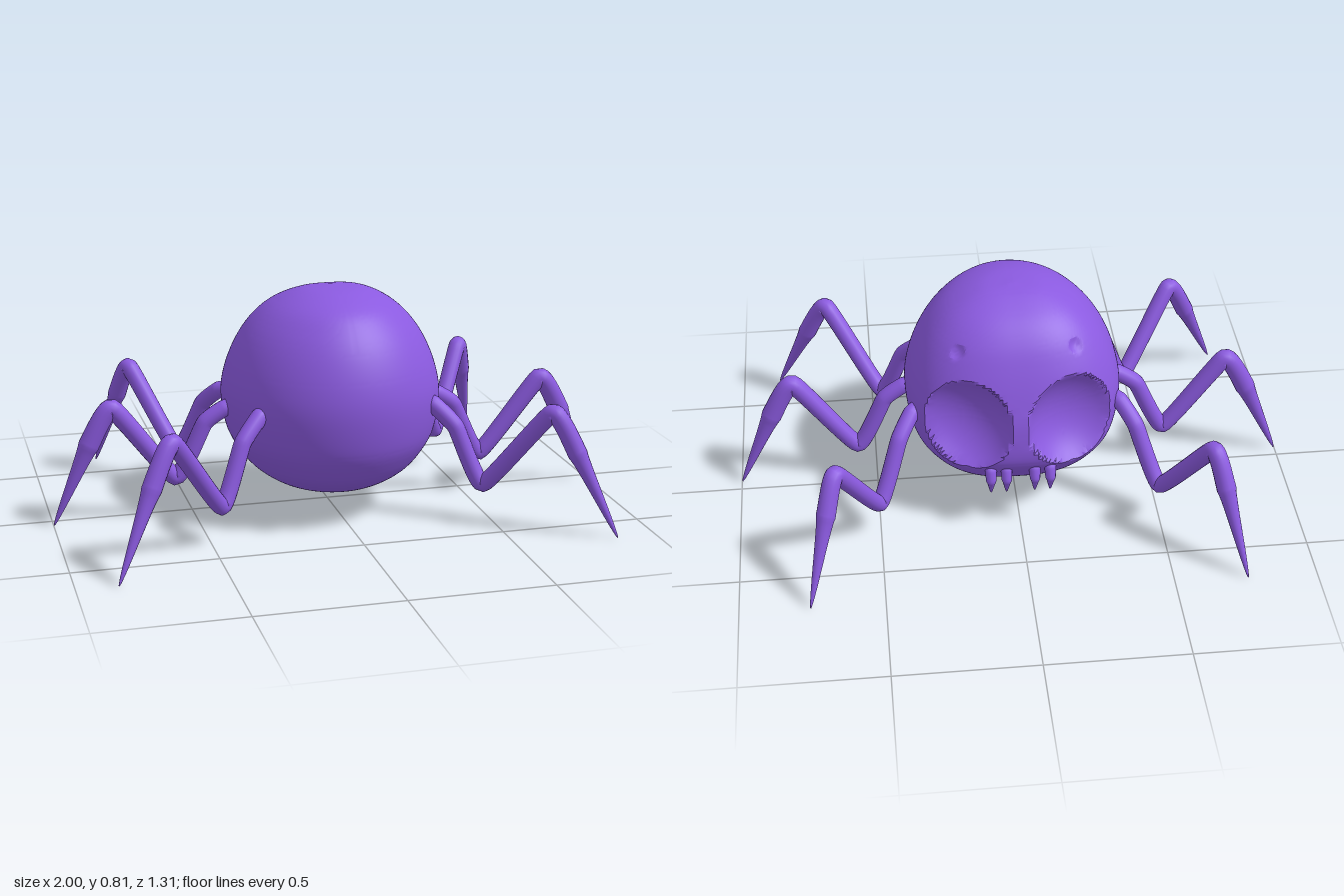
import * as THREE from 'three';
import { toCreasedNormals } from 'three/addons/utils/BufferGeometryUtils.js';

const V = (x, y, z) => new THREE.Vector3(x, y, z);
const material = new THREE.MeshStandardMaterial({ color: 0x8b5ae0 });

// Closed tube of rings: point(row, angle) gives each vertex
function skin(rows, cols, point) {
  const pos = [], index = [];
  for (let i = 0; i <= rows; i++) {
    for (let j = 0; j < cols; j++) {
      pos.push(...point(i / rows, (j / cols) * Math.PI * 2).toArray());
      if (i === rows) continue;
      const k = (j + 1) % cols;
      const a = i * cols + j, b = i * cols + k;
      index.push(a, b, b + cols, a, b + cols, a + cols);
    }
  }
  const geo = new THREE.BufferGeometry();
  geo.setAttribute('position', new THREE.Float32BufferAttribute(pos, 3));
  geo.setIndex(index);
  geo.computeVertexNormals();
  return geo;
}

// Tapered limb along points [x, y, z, radius]; sx = -1 mirrors it
function limb(name, pts, sx, rows, cols) {
  const path = new THREE.CatmullRomCurve3(
    pts.map(([x, y, z]) => V(x * sx, y, z)), false, 'catmullrom', 0.2);
  const first = path.points[0], last = path.points[pts.length - 1];
  const along = last.clone().sub(first).setY(0).normalize();
  const side = V(along.z, 0, -along.x);
  const geo = skin(rows, cols, (t, a) => {
    const f = t * (pts.length - 1);
    const i = Math.min(Math.floor(f), pts.length - 2);
    const r = THREE.MathUtils.lerp(pts[i][3], pts[i + 1][3], f - i);
    const up = path.getTangent(t).cross(side).normalize();
    return path.getPoint(t)
      .addScaledVector(side, r * Math.cos(a))
      .addScaledVector(up, r * Math.sin(a));
  });
  const mesh = new THREE.Mesh(geo, material);
  mesh.name = name;
  return mesh;
}

// Hollow cut by a sphere, given its rim centre, facing, rim radius and depth
function hollow(center, normal, rim, depth) {
  const radius = (rim * rim + depth * depth) / (2 * depth);
  return {
    center: center.clone().addScaledVector(normal.clone().normalize(), radius - depth),
    radius,
  };
}

function makeBody() {
  // Levels: y, half width, front z, back z
  const levels = [
    [0.08, 0, 0.05, 0.05], [0.086, 0.1, 0.16, -0.05], [0.11, 0.19, 0.25, -0.14],
    [0.16, 0.27, 0.335, -0.215], [0.22, 0.325, 0.385, -0.27], [0.3, 0.367, 0.423, -0.31],
    [0.42, 0.385, 0.44, -0.3], [0.52, 0.37, 0.43, -0.268], [0.62, 0.33, 0.395, -0.224],
    [0.7, 0.275, 0.345, -0.175], [0.76, 0.205, 0.28, -0.11], [0.802, 0.11, 0.17, -0.02],
    [0.815, 0, 0.05, 0.05],
  ];
  const curve = (f) => new THREE.CatmullRomCurve3(levels.map(f), false, 'catmullrom', 0.5);
  const outline = curve(([y, w, front]) => V(w, y, front));
  const rear = curve(([y, , , back]) => V(0, y, back));
  const core = V(0, 0.42, 0.05), midZ = 0.05;

  // Large and small eye hollows on both sides of the face
  const hollows = [];
  for (const s of [-1, 1]) {
    hollows.push(hollow(V(0.165 * s, 0.42, -0.238), V(0.41 * s, 0.2, -0.88), 0.152, 0.055));
    hollows.push(hollow(V(0.203 * s, 0.675, -0.16), V(0.203 * s, 0.255, -0.21), 0.036, 0.014));
  }

  const geo = skin(130, 200, (t, a) => {
    const o = outline.getPoint(t), back = rear.getPoint(t).z;
    const sin = Math.sin(a), cos = Math.cos(a);
    // Round in front, squarer towards the face
    const e = cos < 0 ? 2 / 2.6 : 1;
    const p = V(
      Math.sign(sin) * Math.abs(sin) ** e * o.x,
      o.y,
      midZ + Math.abs(cos) ** e * ((cos < 0 ? back : o.z) - midZ));
    for (const h of hollows) {
      if (p.distanceTo(h.center) >= h.radius) continue;
      // Draw the surface back to where the ray from the core meets the hollow
      const dir = p.clone().sub(core).normalize();
      const toC = h.center.clone().sub(core);
      const b = toC.dot(dir);
      const enter = b - Math.sqrt(Math.max(0, b * b - toC.lengthSq() + h.radius ** 2));
      p.copy(core).addScaledVector(dir, enter);
    }
    return p;
  });
  const mesh = new THREE.Mesh(toCreasedNormals(geo, 0.4), material);
  mesh.name = 'body';
  return mesh;
}

export function createModel() {
  const group = new THREE.Group();
  group.name = 'spider';
  group.add(makeBody());

  // Legs: hip, bend, low knee, high knee, shin, tip
  const legs = {
    frontLeg: [
      [0.25, 0.43, 0.22, 0.026], [0.31, 0.415, 0.275, 0.031], [0.38, 0.34, 0.32, 0.03],
      [0.465, 0.14, 0.375, 0.03], [0.655, 0.43, 0.53, 0.032],
      [0.735, 0.29, 0.575, 0.034], [0.86, 0.004, 0.655, 0.002],
    ],
    middleLeg: [
      [0.32, 0.41, 0.06, 0.026], [0.39, 0.39, 0.06, 0.03], [0.46, 0.34, 0.055, 0.03],
      [0.565, 0.145, 0.045, 0.03], [0.785, 0.42, 0.065, 0.034],
      [0.87, 0.29, 0.06, 0.037], [0.998, 0.004, 0.045, 0.002],
    ],
    backLeg: [
      [0.31, 0.42, -0.07, 0.026], [0.37, 0.405, -0.125, 0.03], [0.42, 0.34, -0.19, 0.03],
      [0.5, 0.135, -0.285, 0.03], [0.645, 0.42, -0.455, 0.032],
      [0.685, 0.3, -0.525, 0.034], [0.757, 0.004, -0.655, 0.002],
    ],
  };
  for (const [sx, sideName] of [[1, 'left'], [-1, 'right']]) {
    for (const [name, pts] of Object.entries(legs)) {
      group.add(limb(`${sideName} ${name}`, pts, sx, 72, 16));
    }
    // Pair of hooked fangs below the large eye
    for (const x of [0.05, 0.105]) {
      group.add(limb(`${sideName} fang`, [
        [x, 0.265, -0.25, 0.02], [x, 0.25, -0.285, 0.021],
        [x, 0.215, -0.3, 0.018], [x, 0.155, -0.29, 0.001],
      ], sx, 24, 12));
    }
  }
  return group;
}
